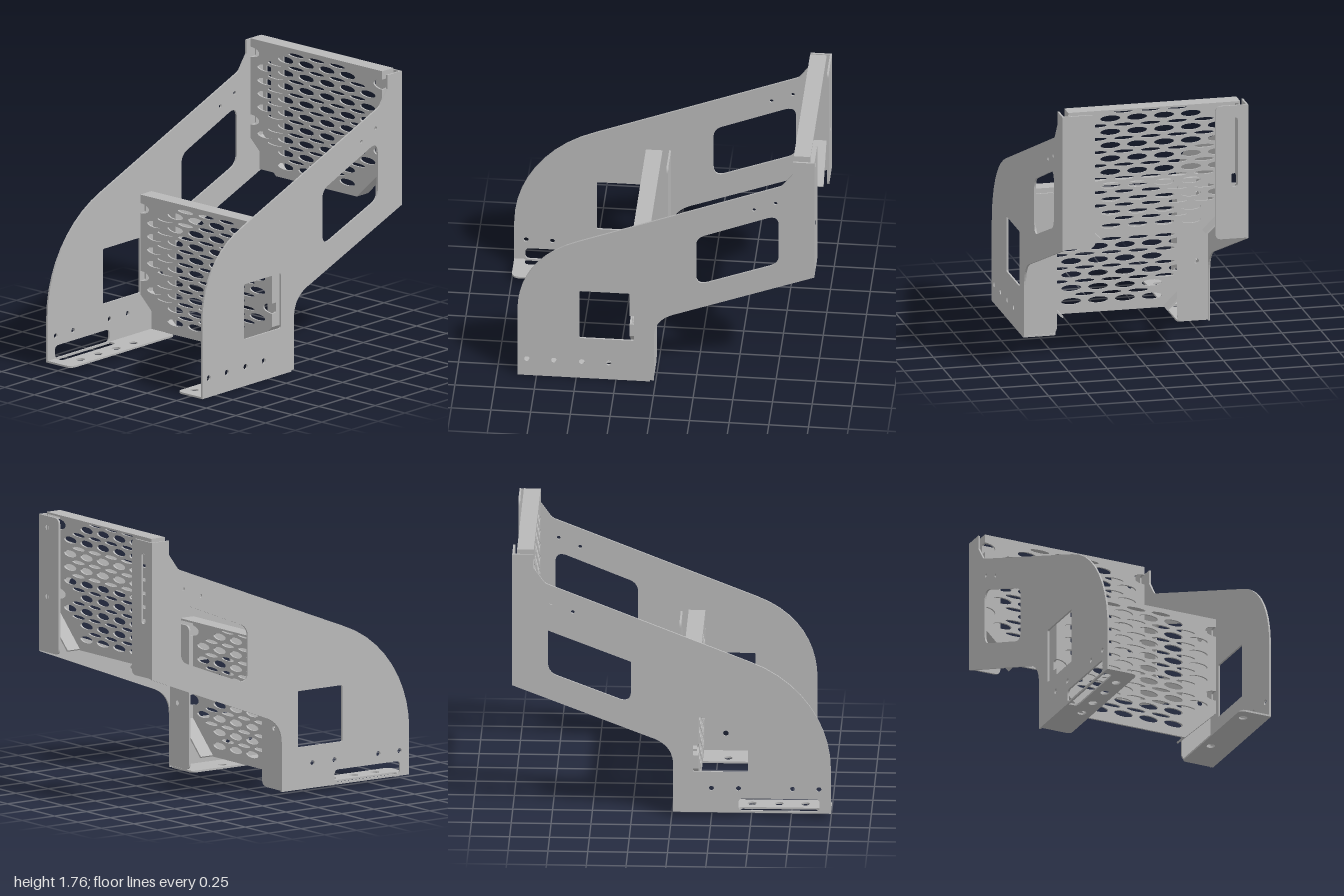
import * as THREE from 'three';

const steel = new THREE.MeshStandardMaterial({ color: 0xb8b8b8 });
steel.name = 'steel grey';
const T = 0.012; // sheet thickness

// Polygon with optional corner radius per point: [x, y, r]
function outline(points, Type = THREE.Shape) {
  const s = new Type();
  const n = points.length;
  points.forEach(([x, y, r = 0], i) => {
    const p = new THREE.Vector2(x, y);
    const toward = (q) => {
      const d = new THREE.Vector2(q[0], q[1]).sub(p);
      return d.setLength(Math.min(r, d.length() / 2)).add(p);
    };
    const a = toward(points[(i + n - 1) % n]);
    const b = toward(points[(i + 1) % n]);
    if (i === 0) s.moveTo(a.x, a.y); else s.lineTo(a.x, a.y);
    if (r > 0) s.quadraticCurveTo(x, y, b.x, b.y);
  });
  s.closePath();
  return s;
}

function ellipse(x, y, rx, ry = rx) {
  return new THREE.Path().absellipse(x, y, rx, ry, 0, Math.PI * 2, true);
}

function sheet(name, shape, holes = []) {
  shape.holes.push(...holes);
  const geo = new THREE.ExtrudeGeometry(shape, { depth: T, bevelEnabled: false, curveSegments: 10 });
  const mesh = new THREE.Mesh(geo, steel);
  mesh.name = name;
  return mesh;
}

// Side plate, drawn in (-z, y) and turned to face sideways
function sidePlate(left) {
  const s = new THREE.Shape();
  const base = left ? 0.01 : 0.035;
  s.moveTo(-0.01, base);
  s.lineTo(-0.01, 0.35);
  s.bezierCurveTo(-0.01, 0.44, 0.04, 0.5, 0.134, 0.53);
  s.lineTo(1, 0.865);
  s.lineTo(1, 1.74);
  s.lineTo(0.866, 1.74);
  s.lineTo(0.866, 1.65);
  s.lineTo(0.805, 1.565);
  s.quadraticCurveTo(0.795, 1.55, 0.775, 1.542);
  s.lineTo(-0.487, 1.043);
  if (left) {
    s.bezierCurveTo(-0.76, 0.94, -0.87, 0.72, -0.87, 0.5);
    s.lineTo(-0.87, base);
  } else {
    s.bezierCurveTo(-0.82, 0.92, -1, 0.62, -1, 0.33);
    s.lineTo(-1, base);
  }
  s.closePath();
  const holes = [
    outline([[0.255, 0.755, 0.08], [0.775, 0.955, 0.06], [0.775, 1.33, 0.08], [0.255, 1.12, 0.06]], THREE.Path),
    outline([[-0.48, 0.305, 0.01], [-0.135, 0.305, 0.01], [-0.135, 0.665, 0.01], [-0.48, 0.665, 0.01]], THREE.Path),
    ellipse(0.62, 1.36, 0.012), ellipse(0.755, 1.418, 0.012),
  ];
  if (left) {
    for (const z of [0.81, 0.64, 0.465, 0.295]) holes.push(ellipse(-z, 0.125, 0.018));
  } else {
    for (const z of [0.925, 0.76, 0.42, 0.25]) holes.push(ellipse(-z, 0.195, 0.016));
    holes.push(outline([[-0.93, 0.048, 0.03], [-0.42, 0.048, 0.03], [-0.42, 0.13, 0.03], [-0.93, 0.13, 0.03]], THREE.Path));
  }
  const m = sheet(left ? 'leftSidePlate' : 'rightSidePlate', s, holes);
  m.rotation.y = Math.PI / 2;
  m.position.x = left ? 0.6 - T : -0.6;
  return m;
}

// Foot flange, drawn in (x, z) and laid flat
function footFlange(left) {
  const shape = left
    ? outline([[0.385, 0.035, 0.03], [0.6, 0.035], [0.6, 0.87], [0.385, 0.87, 0.05]])
    : outline([[-0.6, 0.03], [-0.39, 0.03, 0.03], [-0.39, 1, 0.05], [-0.6, 1],
      [-0.6, 0.93], [-0.53, 0.93, 0.03], [-0.53, 0.42, 0.03], [-0.6, 0.42]]);
  const holes = left
    ? [0.315, 0.78].map((z) => ellipse(0.45, z, 0.027))
    : [0.34, 0.5, 0.67, 0.835].map((z) => ellipse(-0.46, z, 0.028));
  const m = sheet(left ? 'leftFootFlange' : 'rightFootFlange', shape, holes);
  m.rotation.x = Math.PI / 2;
  m.position.y = left ? T : 0.035 + T;
  return m;
}

// Upright flange behind each tread panel
function rearFlange(name, side, y0, y1, z, holeYs, slot) {
  const inner = side * 0.388, outer = side * 0.6;
  const shape = outline([[outer, y0], [inner, y0, 0.04], [inner, y1, 0.04], [outer, y1]]);
  const x = side * 0.512;
  const holes = slot
    ? [outline([[x - 0.02, slot[0], 0.015], [x + 0.02, slot[0], 0.015], [x + 0.02, slot[1], 0.015], [x - 0.02, slot[1], 0.015]], THREE.Path)]
    : holeYs.map((y) => ellipse(x, y, 0.016));
  const m = sheet(name, shape, holes);
  m.position.z = z;
  return m;
}

// Perforated panel with lips folded backwards; its front face lies at z = 0
function treadPanel(name) {
  const g = new THREE.Group();
  g.name = name;
  const W = 0.555, LOW = 0.31, BOTTOM = 0.1, TOP = 0.96, FOOT = 0.34, DEPTH = 0.105;
  const notches = [0.43, 0.872];

  const s = new THREE.Shape();
  s.moveTo(-FOOT, BOTTOM);
  s.lineTo(FOOT, BOTTOM);
  s.lineTo(W, LOW);
  for (const y of notches) {
    s.lineTo(W, y - 0.033);
    s.absellipse(W, y, 0.073, 0.033, -Math.PI / 2, Math.PI / 2, true);
  }
  s.lineTo(W, TOP);
  s.lineTo(-W, TOP);
  for (const y of [...notches].reverse()) {
    s.lineTo(-W, y + 0.033);
    s.absellipse(-W, y, 0.073, 0.033, Math.PI / 2, -Math.PI / 2, true);
  }
  s.lineTo(-W, LOW);
  s.closePath();

  // Staggered rows of wide and slim oval holes
  const holes = [];
  for (let i = 0; i < 9; i++) {
    const y = 0.875 - i * 0.0872;
    const wide = [-0.26, -0.087, 0.087, 0.26];
    if (i > 0 && i < 7 && i !== 5) wide.push(-0.433, 0.433);
    for (const x of wide) holes.push(ellipse(x, y, 0.065, 0.021));
    const slim = [-0.173, 0, 0.173];
    if (i > 0 && i < 8) slim.push(-0.345, 0.345);
    for (const x of slim) holes.push(ellipse(x, y + 0.0436, 0.065, 0.011));
  }
  const face = sheet('perforatedFace', s, holes);
  face.position.z = -T;
  g.add(face);

  const topLip = new THREE.Mesh(new THREE.BoxGeometry(2 * W, T, DEPTH), steel);
  topLip.name = 'topLip';
  topLip.position.set(0, TOP - T / 2, -DEPTH / 2);
  g.add(topLip);

  for (const side of [-1, 1]) {
    // Side lip with clearance notches along its front edge
    const pts = [[DEPTH, LOW], [DEPTH, TOP, 0.02], [0, TOP]];
    for (const y of [...notches].reverse()) {
      pts.push([0, y + 0.033], [0.04, y + 0.033, 0.01], [0.04, y - 0.033, 0.01], [0, y - 0.033]);
    }
    pts.push([0, LOW]);
    const lip = sheet('sideLip', outline(pts), []);
    lip.rotation.y = Math.PI / 2;
    lip.position.x = side > 0 ? W - T : -W;
    g.add(lip);

    // Lip along the slanted lower corner
    const dx = W - FOOT, dy = LOW - BOTTOM;
    const slant = new THREE.Mesh(new THREE.BoxGeometry(Math.hypot(dx, dy), T, DEPTH), steel);
    slant.name = 'slantedLip';
    slant.position.set(side * ((W + FOOT) / 2 - 0.004), (LOW + BOTTOM) / 2 + 0.004, -DEPTH / 2);
    slant.rotation.z = side * Math.atan2(dy, dx);
    g.add(slant);
  }
  return g;
}

export function createModel() {
  const model = new THREE.Group();
  model.name = 'stepUnit';
  for (const left of [true, false]) {
    const side = left ? 1 : -1;
    const word = left ? 'left' : 'right';
    model.add(
      sidePlate(left),
      footFlange(left),
      rearFlange(word + 'LowerFlange', side, left ? 0.02 : 0.045, 0.94, 0.012, [0.43, 0.872]),
      rearFlange(word + 'UpperFlange', side, 0.87, 1.74, -1, [1.225, 1.667], left ? null : [1.21, 1.66]),
    );
  }
  const lower = treadPanel('lowerTread');
  lower.position.z = 0.168;
  const upper = treadPanel('upperTread');
  upper.position.set(0, 0.797, -0.866);
  model.add(lower, upper);
  return model;
}
